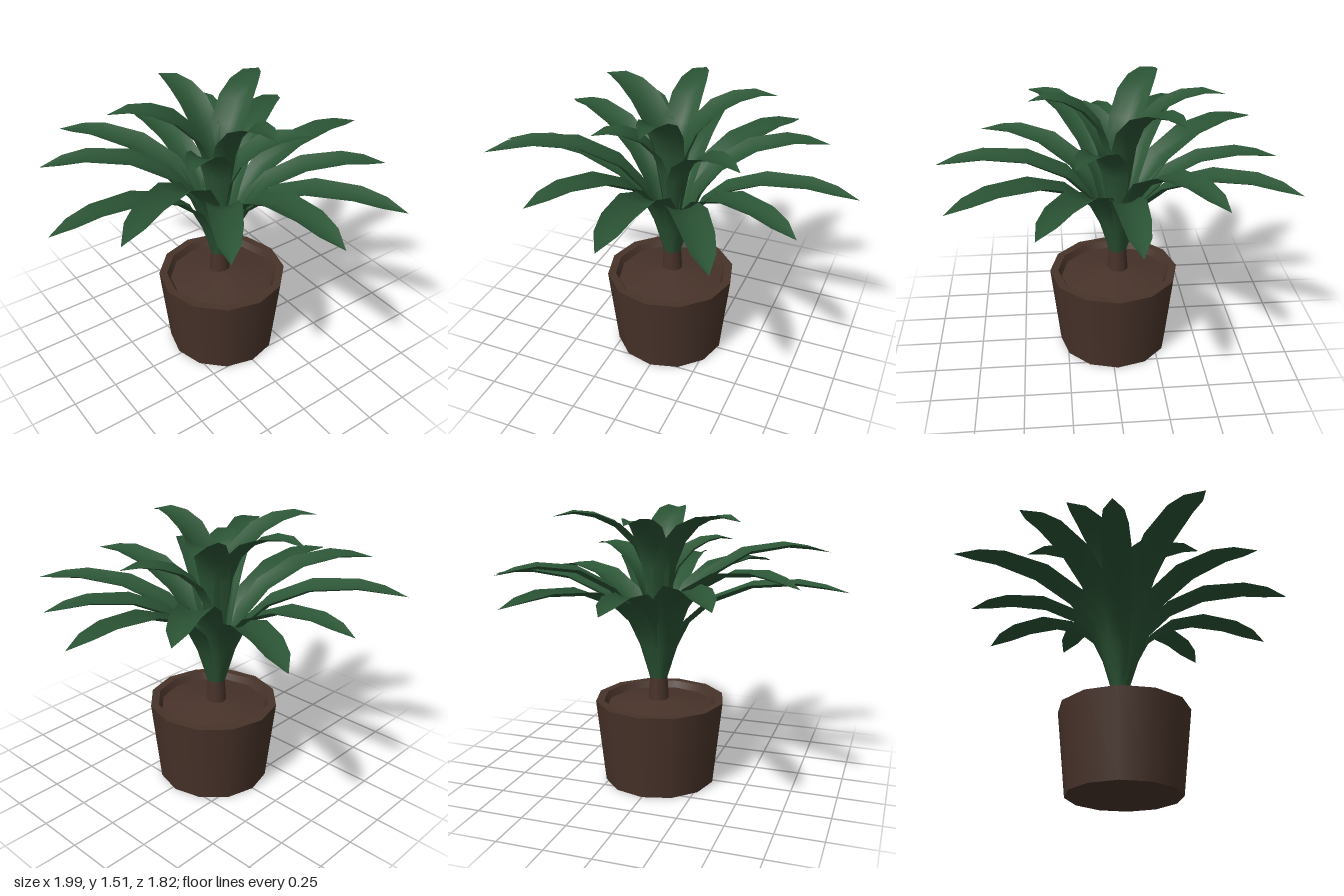
import * as THREE from 'three';
import { mergeGeometries } from 'three/addons/utils/BufferGeometryUtils.js';

const AXIS_Z = -0.045; // the plant stands slightly behind the middle
const BASE_Y = 0.6;

// Leaf rows: reach (0..1), rise (0..1), half width, cup depth relative to half width
const OUTER_ROWS = [
  [0.0, 0.0, 0.03, 0.4],
  [0.055, 0.35, 0.052, 0.45],
  [0.125, 0.62, 0.07, 0.42],
  [0.26, 0.85, 0.084, 0.38],
  [0.48, 1.02, 0.088, 0.34],
  [0.73, 1.065, 0.074, 0.34],
  [0.87, 1.04, 0.055, 0.3],
  [1.0, 1.0, 0.0, 0.0],
];
const INNER_ROWS = [
  [0.0, 0.0, 0.02, 0.4],
  [0.04, 0.4, 0.055, 0.45],
  [0.1, 0.68, 0.08, 0.42],
  [0.2, 0.825, 0.09, 0.36],
  [0.4, 0.945, 0.09, 0.32],
  [0.6, 1.0, 0.076, 0.3],
  [0.8, 1.02, 0.05, 0.28],
  [1.0, 1.0, 0.0, 0.0],
];

// Revolved profile with a hard edge at every profile point
function turned(points, sides) {
  const bands = [];
  for (let i = 0; i < points.length - 1; i++) {
    const pair = [points[i], points[i + 1]].map(([r, y]) => new THREE.Vector2(r, y));
    bands.push(new THREE.LatheGeometry(pair, sides));
  }
  return mergeGeometries(bands);
}

// Arching leaf, from the stem out to its tip
function leafGeometry(rows, baseR, [tipX, tipY, tipZ, width]) {
  const dz = tipZ - AXIS_Z;
  const reach = Math.hypot(tipX, dz);
  const out = new THREE.Vector3(tipX / reach, 0, dz / reach);
  const side = new THREE.Vector3(out.z, 0, -out.x);
  const rise = tipY - BASE_Y;
  const spine = rows.map(([u, v]) => [baseR + u * (reach - baseR), BASE_Y + v * rise]);
  const across = 4;
  const pos = [];
  const index = [];
  rows.forEach(([, , w, cup], i) => {
    const a = spine[Math.max(i - 1, 0)];
    const b = spine[Math.min(i + 1, spine.length - 1)];
    const len = Math.hypot(b[0] - a[0], b[1] - a[1]);
    const nr = -(b[1] - a[1]) / len; // upper side of the leaf
    const ny = (b[0] - a[0]) / len;
    for (let j = 0; j <= across; j++) {
      const s = (j / across) * 2 - 1;
      const lift = w * width * cup * (s * s - 0.4);
      const r = spine[i][0] + nr * lift;
      const p = out.clone().multiplyScalar(r).addScaledVector(side, s * w * width);
      pos.push(p.x, spine[i][1] + ny * lift, p.z + AXIS_Z);
    }
  });
  const n = across + 1;
  for (let i = 0; i < rows.length - 1; i++) {
    for (let j = 0; j < across; j++) {
      const a = i * n + j;
      index.push(a, a + n, a + 1);
      if (i < rows.length - 2) index.push(a + 1, a + n, a + n + 1);
    }
  }
  const g = new THREE.BufferGeometry();
  g.setAttribute('position', new THREE.Float32BufferAttribute(pos, 3));
  g.setIndex(index);
  g.computeVertexNormals();
  return g;
}

export function createModel() {
  const model = new THREE.Group();
  model.name = 'pottedPlant';
  const brown = new THREE.MeshStandardMaterial({ color: 0x473229 });
  brown.name = 'earthBrown';
  const green = new THREE.MeshStandardMaterial({ color: 0x2b5435, side: THREE.DoubleSide });
  green.name = 'leafGreen';

  const add = (name, geometry, material, z = 0) => {
    const mesh = new THREE.Mesh(geometry, material);
    mesh.name = name;
    mesh.position.z = z;
    model.add(mesh);
  };

  // Pot with a flat rim, and the soil mounded inside it
  add('pot', turned([[0, 0], [0.31, 0], [0.36, 0.47], [0.315, 0.47], [0.29, 0.42]], 12), brown, -0.022);
  add('soil', turned([[0.297, 0.433], [0, 0.49]], 12), brown, -0.022);

  // Stem and the green heart the leaves grow from
  add('stem', turned([[0.06, 0.44], [0.048, 0.61]], 12), brown, AXIS_Z);
  add('leafHeart', turned([[0, 0.605], [0.05, 0.605], [0.042, 0.72], [0.018, 0.88], [0, 0.9]], 10), green, AXIS_Z);

  // Leaf tips: x, y, z, width factor
  const outerTips = [
    [0.99, 1.12, -0.06, 0.95], [0.74, 1.19, -0.485, 1], [0.47, 1.12, -0.91, 1.05],
    [-0.02, 1.12, -0.91, 0.95], [-0.52, 1.17, -0.88, 1.05], [-0.82, 1.21, -0.475, 1],
    [-1.0, 1.12, -0.005, 0.92], [-0.845, 1.26, 0.43, 1], [-0.46, 1.16, 0.7, 1],
    [0.025, 1.156, 0.905, 1.08], [0.52, 1.117, 0.82, 1.05], [0.79, 1.11, 0.395, 1],
  ];
  const innerTips = [
    [0.47, 1.485, -0.33, 1.05], [-0.02, 1.48, -0.6, 0.95], [-0.5, 1.485, -0.3, 1.05],
    [-0.35, 1.34, 0.2, 1], [0.02, 1.483, 0.415, 1], [0.45, 1.29, 0.2, 1],
  ];
  const addLeaves = (name, rows, baseR, tips) => tips.forEach((tip, i) =>
    add(name + (i + 1), leafGeometry(rows, baseR, tip), green));
  addLeaves('outerLeaf', OUTER_ROWS, 0.045, outerTips);
  addLeaves('innerLeaf', INNER_ROWS, 0.015, innerTips);
  return model;
}
